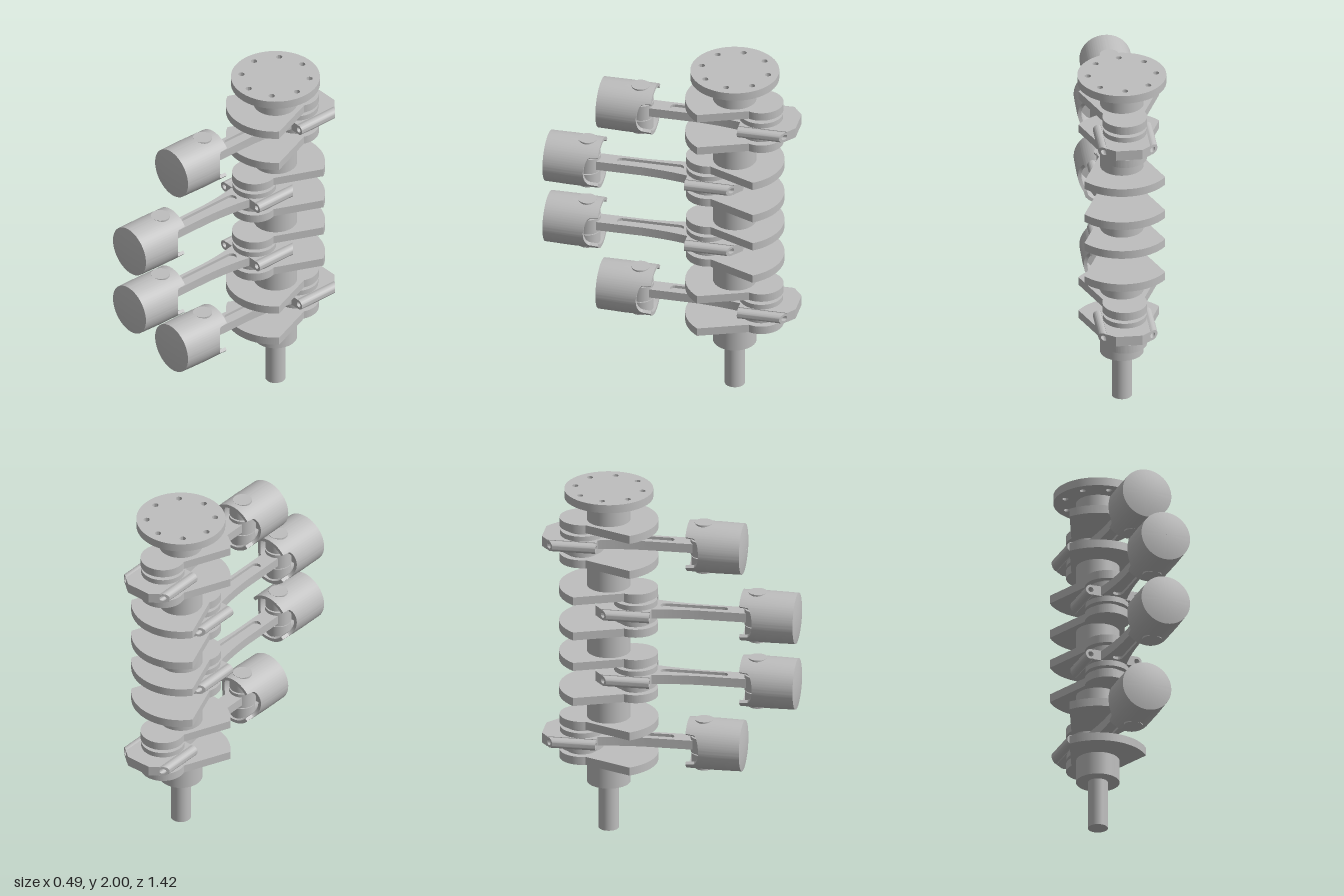
import * as THREE from 'three';
import { toCreasedNormals } from 'three/addons/utils/BufferGeometryUtils.js';

const steel = new THREE.MeshStandardMaterial({ color: 0xbebebe });
steel.name = 'steel grey';

const AXIS_Z = -0.353;   // crankshaft axis
const THROW = 0.149;     // crank pin offset from the axis
const PIN_R = 0.122;

function add(parent, name, geometry, x = 0, y = 0, z = 0) {
  const mesh = new THREE.Mesh(geometry, steel);
  mesh.name = name;
  mesh.position.set(x, y, z);
  parent.add(mesh);
  return mesh;
}

// upright cylinder spanning y0..y1
function post(parent, name, r, y0, y1, x, z) {
  return add(parent, name, new THREE.CylinderGeometry(r, r, y1 - y0, 64), x, (y0 + y1) / 2, z);
}

// plate drawn in (x, z), thickness centred on y = 0
function plate(shape, thickness) {
  const g = new THREE.ExtrudeGeometry(shape, { depth: thickness, bevelEnabled: false, curveSegments: 40 });
  g.translate(0, 0, -thickness / 2).rotateX(Math.PI / 2);
  return toCreasedNormals(g, 0.5);
}

function circleHole(x, y, r) {
  return new THREE.Path().absarc(x, y, r, 0, Math.PI * 2, true);
}

function flangeShape() {
  const s = new THREE.Shape().absarc(0, 0, 0.243, 0, Math.PI * 2, false);
  for (let i = 0; i < 8; i++) {
    const a = i * Math.PI / 4 + 0.015;
    s.holes.push(circleHole(0.187 * Math.cos(a), 0.187 * Math.sin(a), 0.017));
  }
  return s;
}

// crank web: round pin end at -z, wide counterweight arc at +z
function webShape() {
  const a = Math.atan2(0.153, 0.217), t = 0.35;
  const s = new THREE.Shape();
  s.absarc(0, 0, 0.271, a, Math.PI - a, false);
  s.absarc(0, -THROW, PIN_R, Math.PI - t, Math.PI * 2 + t, false);
  s.closePath();
  return s;
}

// piston: thin cup along z with a domed crown and a notch in the skirt on each side
function pistonGeometry() {
  const n = 144, R = 0.143, ri = 0.122;
  const rim = (a) => {
    const k = Math.abs(Math.sin(a)) / 0.62;
    return k < 1 ? 0.632 + 0.036 * Math.sqrt(1 - k * k) : 0.592;
  };
  const pos = [], idx = [];
  let m = 0;
  for (let i = 0; i <= n; i++) {
    const a = i / n * Math.PI * 2, z = rim(a);
    const profile = [[0.001, 0.8], [ri, 0.8], [ri, z], [R - 0.002, z], [R, 0.75], [R - 0.002, 0.895],
      [0.11, 0.901], [0.06, 0.907], [0.001, 0.91]];
    m = profile.length;
    for (const [r, h] of profile) pos.push(r * Math.cos(a), r * Math.sin(a), h);
  }
  for (let i = 0; i < n; i++) {
    for (let j = 0; j < m - 1; j++) {
      const a = i * m + j, b = a + m;
      idx.push(a, b, b + 1, a, b + 1, a + 1);
    }
  }
  const g = new THREE.BufferGeometry();
  g.setAttribute('position', new THREE.Float32BufferAttribute(pos, 3));
  g.setIndex(idx);
  return toCreasedNormals(g, 0.5);
}

// hollow bolt boss along z, its rear end cut along the cap's chamfer
function boltBossGeometry(x) {
  const s = new THREE.Shape().absarc(x, 0, 0.029, 0, Math.PI * 2, false);
  s.holes.push(circleHole(x, 0, 0.015));
  const g = new THREE.ExtrudeGeometry(s, { depth: 1, bevelEnabled: false, curveSegments: 20 });
  const p = g.attributes.position;
  for (let i = 0; i < p.count; i++) {
    const rear = -0.137 - (0.163 - Math.abs(p.getX(i))) * 0.81;
    p.setZ(i, p.getZ(i) > 0.5 ? 0.1 : rear);
  }
  return toCreasedNormals(g, 0.5);
}

// shank outline with a flare into the big end
function shankShape(slotted) {
  const s = new THREE.Shape();
  s.moveTo(-0.085, 0.06);
  s.quadraticCurveTo(-0.053, 0.18, -0.046, 0.36);
  s.lineTo(-0.046, 0.66);
  s.lineTo(0.046, 0.66);
  s.lineTo(0.046, 0.36);
  s.quadraticCurveTo(0.053, 0.18, 0.085, 0.06);
  s.closePath();
  if (slotted) {
    const h = new THREE.Path();
    h.absarc(0, 0.485, 0.026, 0, Math.PI, false);
    h.absarc(0, 0.165, 0.028, Math.PI, Math.PI * 2, false);
    h.closePath();
    s.holes.push(h);
  }
  return s;
}

// connecting rod, origin at the crank pin
function makeRod() {
  const rod = new THREE.Group();
  rod.name = 'connectingRod';
  const cap = new THREE.Shape([[0.12, 0.1], [-0.12, 0.1], [-0.12, -0.172], [-0.073, -0.209], [0.073, -0.209], [0.12, -0.172]]
    .map(([x, z]) => new THREE.Vector2(x, z)));
  add(rod, 'bigEndBody', plate(cap, 0.058));
  post(rod, 'bigEndBearing', 0.119, -0.058, 0.058, 0, 0);
  for (const side of [-1, 1]) add(rod, 'boltBoss', boltBossGeometry(side * 0.134));
  add(rod, 'shank', plate(shankShape(true), 0.052));
  add(rod, 'shankWeb', plate(shankShape(false), 0.02));
  post(rod, 'smallEnd', 0.073, -0.045, 0.045, 0, 0.676);
  rod.rotation.y = 0.019;
  return rod;
}

function makePiston() {
  const piston = new THREE.Group();
  piston.name = 'piston';
  add(piston, 'pistonBody', pistonGeometry());
  post(piston, 'wristPin', 0.052, -0.1425, 0.1425, 0, 0.676);
  for (const side of [-1, 1]) {
    post(piston, 'pinBoss', 0.07, side * 0.087 - 0.035, side * 0.087 + 0.035, 0, 0.676);
  }
  piston.position.x = 0.013;
  return piston;
}

export function createModel() {
  const model = new THREE.Group();
  model.name = 'crankshaftAssembly';

  // shaft nose, main journals and flange
  post(model, 'noseShaft', 0.055, 0, 0.28, 0, AXIS_Z);
  const journals = [[0.275, 0.41], [0.655, 0.795], [1.04, 1.185], [1.43, 1.57], [1.815, 1.956]];
  for (const [y0, y1] of journals) post(model, 'mainJournal', 0.119, y0, y1, 0, AXIS_Z);
  add(model, 'flange', plate(flangeShape(), 0.047), 0, 1.9765, AXIS_Z);

  // four throws, the outer pair pointing back and the inner pair forward
  const web = plate(webShape(), 0.047);
  const throws = [[0.532, -1], [0.919, 1], [1.306, 1], [1.693, -1]];
  for (const [y, dir] of throws) {
    const pinZ = AXIS_Z + dir * THROW;
    for (const side of [-1, 1]) {
      const w = add(model, 'crankWeb', web, 0, y + side * 0.1035, AXIS_Z);
      if (dir > 0) w.rotation.y = Math.PI;
    }
    post(model, 'crankPin', 0.086, y - 0.085, y + 0.085, 0, pinZ);
    const unit = new THREE.Group();
    unit.name = 'pistonAndRod';
    unit.add(makeRod(), makePiston());
    unit.position.set(0, y, pinZ);
    model.add(unit);
  }
  return model;
}
